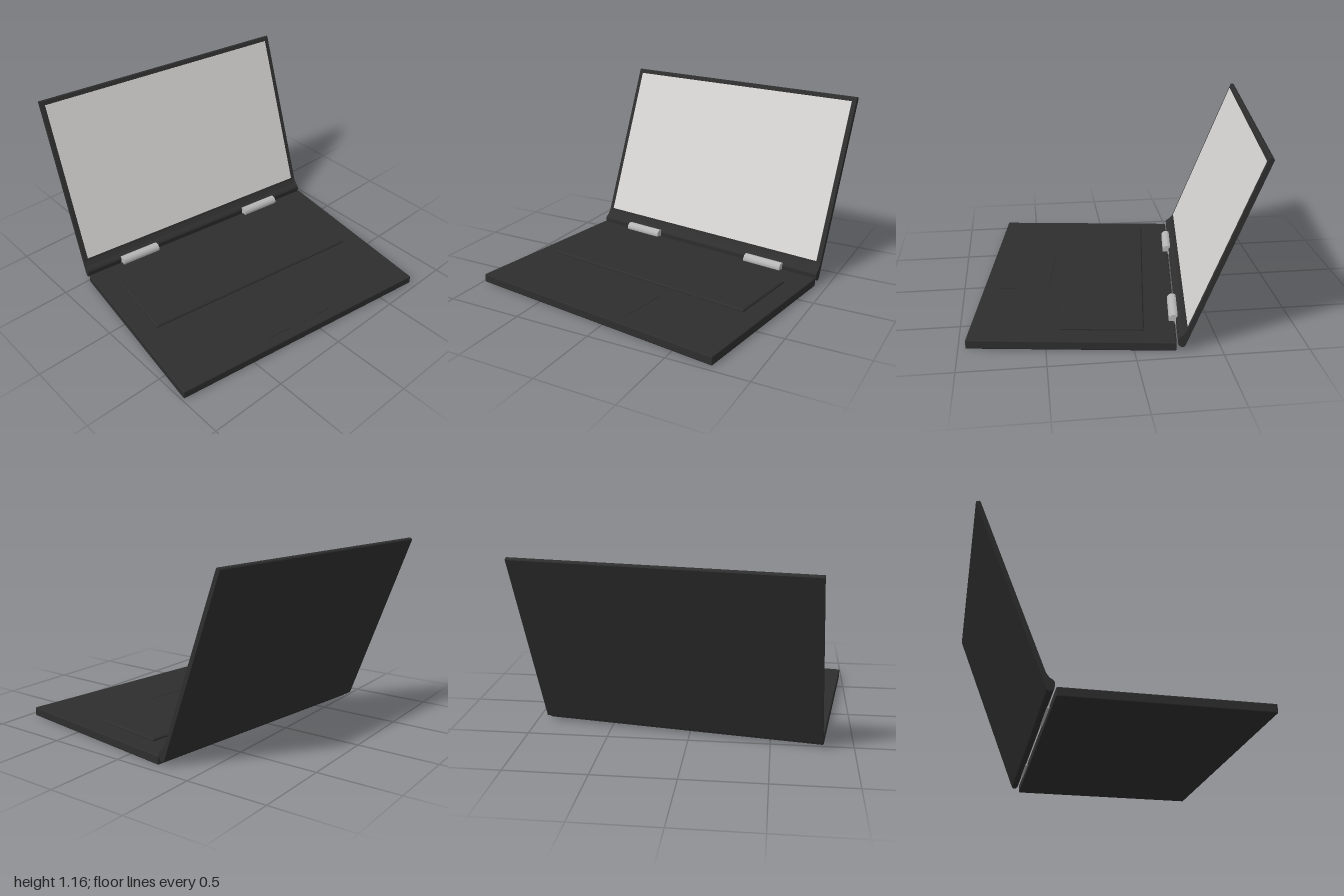
import * as THREE from 'three';
import { RoundedBoxGeometry } from 'three/addons/geometries/RoundedBoxGeometry.js';

const WIDTH = 1.766;      // along the hinge (local z)
const TILT = 0.369;       // lid lean away from upright
const BASE_TOP = 0.055;

function material(name, color) {
  const m = new THREE.MeshStandardMaterial({ color });
  m.name = name;
  return m;
}

export function createModel() {
  const body = material('charcoal body', 0x2e2e2e);
  const glass = material('pale screen', 0xd6d5d3);
  const metal = material('grey hinge metal', 0xb6b6b6);

  const model = new THREE.Group();
  model.name = 'laptop';
  // local +x is the typing side; the whole laptop is turned slightly
  const laptop = new THREE.Group();
  laptop.name = 'turnedLaptop';
  laptop.rotation.y = -THREE.MathUtils.degToRad(8);
  laptop.position.z = -0.004;
  model.add(laptop);

  const add = (parent, name, geometry, mat, x = 0, y = 0, z = 0) => {
    const mesh = new THREE.Mesh(geometry, mat);
    mesh.name = name;
    mesh.position.set(x, y, z);
    parent.add(mesh);
    return mesh;
  };

  // Prism with a chamfered top edge, standing on y = 0
  const chamferedSlab = (w, d, h, c) => {
    const s = new THREE.Shape();
    const a = w / 2 - c, b = d / 2 - c;
    s.moveTo(-a, -b).lineTo(a, -b).lineTo(a, b).lineTo(-a, b).closePath();
    const g = new THREE.ExtrudeGeometry(s, {
      depth: h - c, bevelEnabled: true, bevelSize: c, bevelThickness: c, bevelSegments: 1,
    });
    return g.rotateX(-Math.PI / 2);
  };

  // Base
  add(laptop, 'base', new RoundedBoxGeometry(1.208, BASE_TOP, WIDTH, 2, 0.007), body, 0.239, BASE_TOP / 2);

  // Raised keyboard deck and touchpad
  add(laptop, 'keyboardDeck', chamferedSlab(0.496, 1.506, 0.016, 0.008), body, 0.067, BASE_TOP - 0.001);
  add(laptop, 'touchpad', chamferedSlab(0.35, 0.46, 0.004, 0.002), body, 0.6, BASE_TOP - 0.001);

  // Lid: side profile with a thick rounded foot, extruded along the hinge
  const along = (s, out) => [
    -0.412 - Math.sin(TILT) * s + Math.cos(TILT) * out,
    0.03 + Math.cos(TILT) * s + Math.sin(TILT) * out,
  ];
  const profile = [
    along(0.006, 0), [-0.404, 0.027], [-0.385, 0.03], [-0.374, 0.045], [-0.372, 0.075],
    [-0.38, 0.088], [-0.402, 0.103], along(0.095, 0.027),
    along(1.195, 0.027), along(1.2, 0.022), along(1.2, 0.005), along(1.195, 0),
  ];
  const lidShape = new THREE.Shape(profile.map(([x, y]) => new THREE.Vector2(x, y)));
  add(laptop, 'lid', new THREE.ExtrudeGeometry(lidShape, { depth: WIDTH, bevelEnabled: false }),
    body, 0, 0, -WIDTH / 2);

  // Screen plate on the inner face of the lid
  const [sx, sy] = along(0.64, 0.027);
  add(laptop, 'screen', new THREE.BoxGeometry(0.005, 1.056, 1.706), glass, sx, sy).rotation.z = TILT;

  // Pair of hinge barrels
  for (const side of [-1, 1]) {
    const barrel = new THREE.CylinderGeometry(0.033, 0.033, 0.274, 24).rotateX(Math.PI / 2);
    add(laptop, side > 0 ? 'nearHinge' : 'farHinge', barrel, metal, -0.362, 0.065, side * 0.5);
  }

  return model;
}
